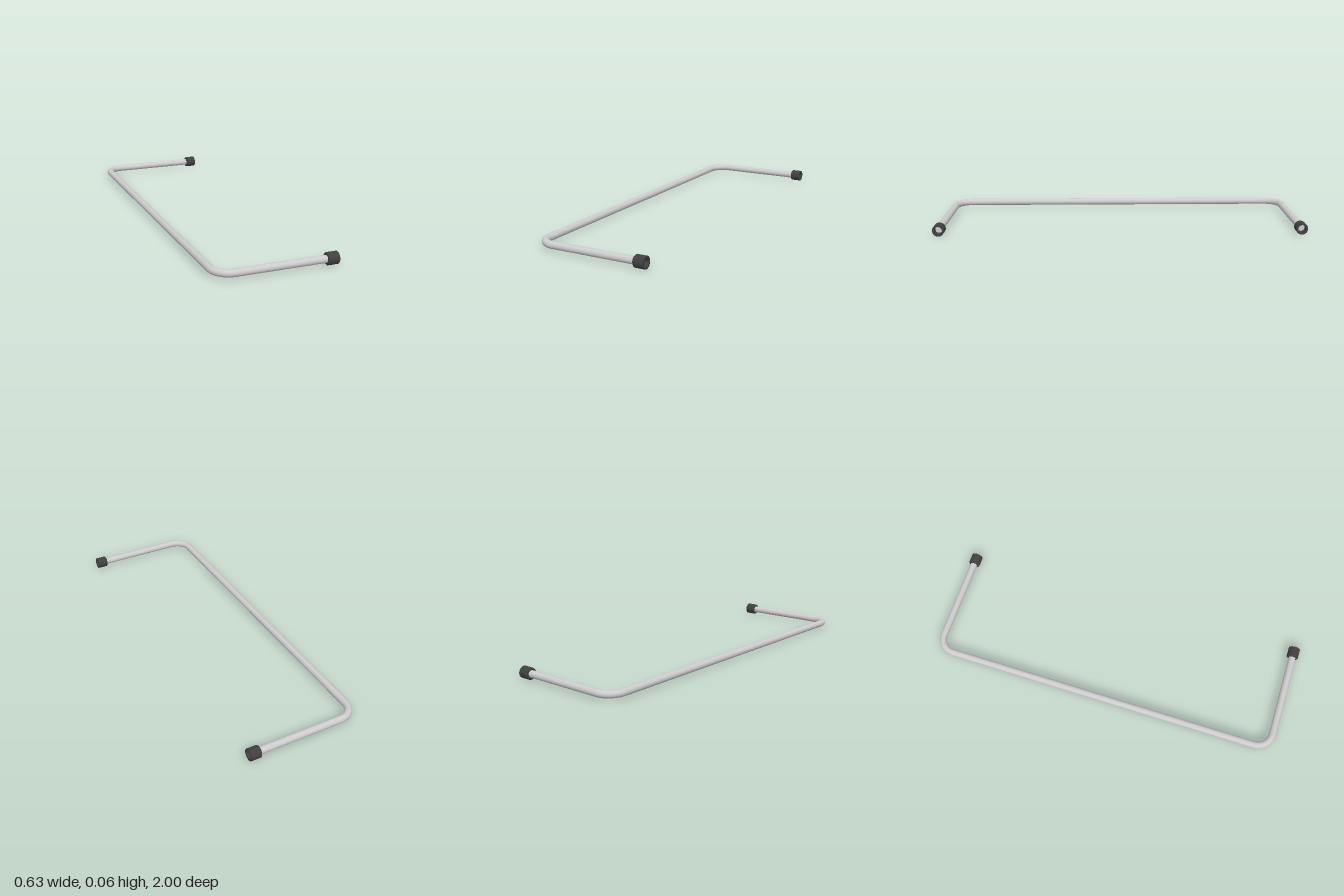
import * as THREE from 'three';

const R = 0.0192;        // bar radius
const CAP_R = 0.0315;    // end sleeve radius
const Y = CAP_R;         // height of the bar axis
const X_BACK = -0.297;   // axis of the long bar
const X_END = 0.316;     // open end of the sleeves
const CAP_L = 0.058;     // sleeve length
const RECESS = 0.03;     // depth from sleeve mouth to bar end
const Z_ARM = 1 - CAP_R; // axis of the arms
const BEND = 0.09;       // bend radius on the axis
const SEG = 32;

export function createModel() {
  const group = new THREE.Group();
  const steel = new THREE.MeshStandardMaterial({ color: 0xcccccc });
  const rubber = new THREE.MeshStandardMaterial({ color: 0x404040, side: THREE.DoubleSide });

  const add = (geometry, material, name, x, z) => {
    const mesh = new THREE.Mesh(geometry, material);
    mesh.name = name;
    mesh.position.set(x, Y, z);
    group.add(mesh);
    return mesh;
  };

  // Long straight bar along z
  const longBar = new THREE.CylinderGeometry(R, R, 2 * (Z_ARM - BEND), SEG, 1, true).rotateX(Math.PI / 2);
  add(longBar, steel, 'longBar', X_BACK, 0);

  // Sleeve profile (radius, distance along the arm), repeated corners keep edges sharp
  const c = 0.004;
  const profile = [
    [R, 0], [CAP_R - c, 0], [CAP_R - c, 0], [CAP_R, c], [CAP_R, c],
    [CAP_R, CAP_L], [CAP_R, CAP_L], [R + 0.002, CAP_L], [R + 0.002, CAP_L], [R + 0.002, 0],
  ].map(([r, d]) => new THREE.Vector2(r, d));

  const armStart = X_BACK + BEND;
  const armEnd = X_END - RECESS;
  const armLength = armEnd - armStart;

  for (const side of [1, -1]) {
    const prefix = side > 0 ? 'front' : 'back';

    // Quarter bend in the horizontal plane
    const bend = new THREE.TorusGeometry(BEND, R, SEG, 20, Math.PI / 2);
    bend.rotateX(Math.PI / 2).rotateY(side > 0 ? -Math.PI / 2 : Math.PI);
    add(bend, steel, prefix + 'Bend', armStart, side * (Z_ARM - BEND));

    // Arm, closed at its end inside the sleeve
    const arm = new THREE.CylinderGeometry(R, R, armLength, SEG).rotateZ(-Math.PI / 2);
    add(arm, steel, prefix + 'Arm', (armStart + armEnd) / 2, side * Z_ARM);

    // Hollow end sleeve
    const sleeve = new THREE.LatheGeometry(profile, SEG).rotateZ(-Math.PI / 2);
    add(sleeve, rubber, prefix + 'Sleeve', X_END - CAP_L, side * Z_ARM);
  }
  return group;
}
